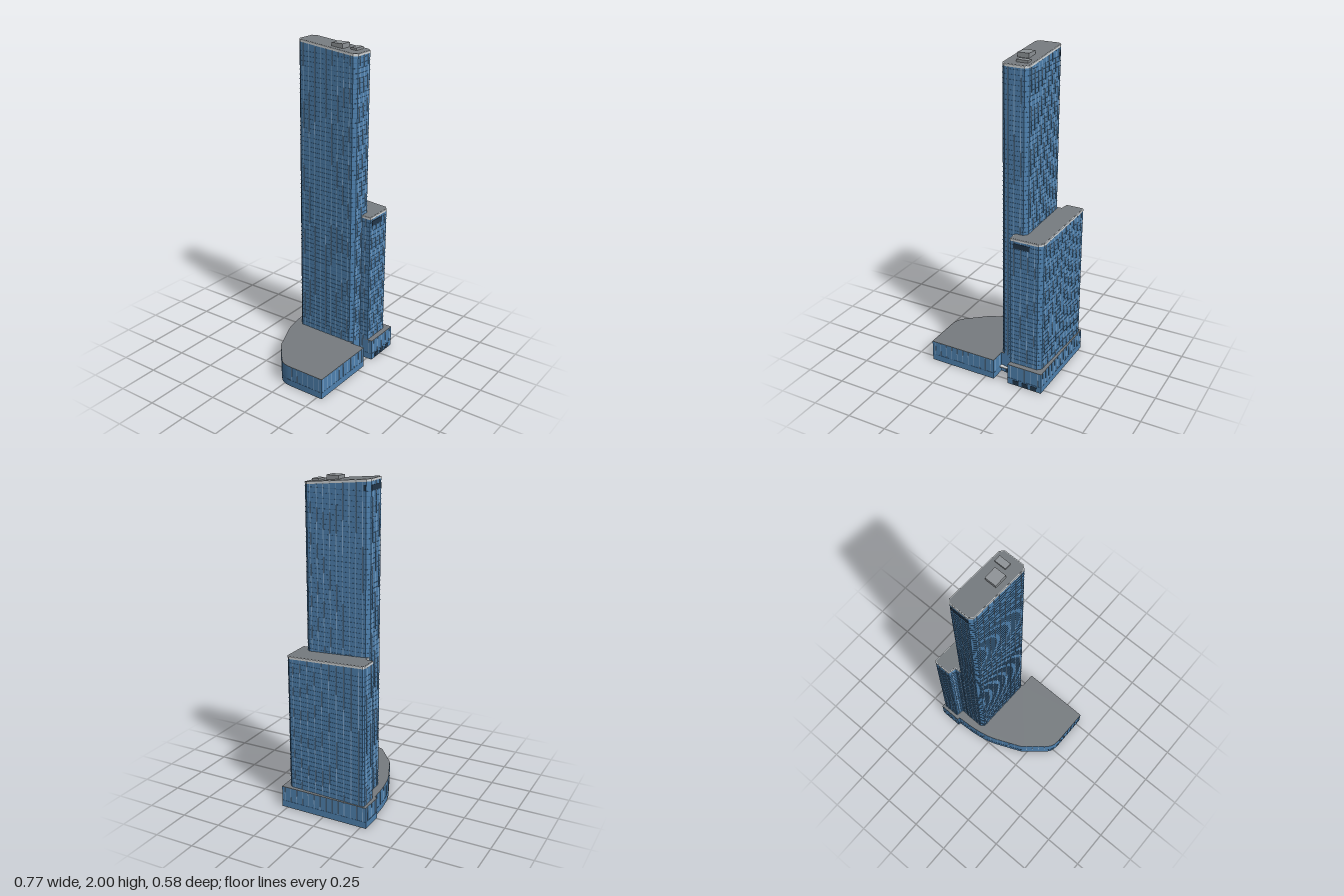
import * as THREE from 'three';
import { mergeGeometries, toCreasedNormals } from 'three/addons/utils/BufferGeometryUtils.js';

const mat = (color) => new THREE.MeshStandardMaterial({ color });
const GLASS = mat(0x4f82b0), SLAB = mat(0x3f6a92), MULLION = mat(0x86acd0), DARK = mat(0x22364a);
const ROOF = mat(0x777c80), TRIM = mat(0xd4d8da), PLANT = mat(0x8f9498);

// Plan outline from [x, z] pairs, as counter-clockwise points with y = -z
function plan(pairs) {
  const pts = pairs.map(([x, z]) => new THREE.Vector2(x, -z));
  return THREE.ShapeUtils.isClockWise(pts) ? pts.reverse() : pts;
}

const edgeNormal = (a, b) => new THREE.Vector2(b.y - a.y, a.x - b.x).normalize();

// Mitred offset of an outline (positive is outward)
function offset(pts, d) {
  return pts.map((p, i) => {
    const n1 = edgeNormal(pts[(i + pts.length - 1) % pts.length], p);
    const n2 = edgeNormal(p, pts[(i + 1) % pts.length]);
    return n1.clone().add(n2).multiplyScalar(d / (1 + n1.dot(n2))).add(p);
  });
}

// Vertical prism whose bottom and top heights are functions of z
function prism(pts, bottom, top) {
  const g = new THREE.ExtrudeGeometry(new THREE.Shape(pts), { depth: 1, bevelEnabled: false });
  g.rotateX(-Math.PI / 2);
  const p = g.attributes.position;
  for (let i = 0; i < p.count; i++) {
    const z = p.getZ(i);
    p.setY(i, p.getY(i) > 0.5 ? top(z) : bottom(z));
  }
  return toCreasedNormals(g, 0.5);
}

// Slim upright fins spread along every edge of an outline
function fins(pts, spacing, width, y0, top) {
  const list = [];
  pts.forEach((a, i) => {
    const b = pts[(i + 1) % pts.length];
    const count = Math.floor(a.distanceTo(b) / spacing);
    for (let k = 0; k < count; k++) {
      const p = a.clone().lerp(b, (k + 0.5) / count);
      const h = top(-p.y) - y0;
      const g = new THREE.BoxGeometry(width, h, 0.004);
      g.rotateY(Math.atan2(b.y - a.y, b.x - a.x));
      g.translate(p.x, y0 + h / 2, -p.y);
      list.push(g);
    }
  });
  return mergeGeometries(list);
}

function add(parent, name, geometry, material) {
  const m = new THREE.Mesh(geometry, material);
  m.name = name;
  parent.add(m);
  return m;
}

function box(parent, name, x0, x1, y0, y1, z0, z1, material) {
  const g = new THREE.BoxGeometry(x1 - x0, y1 - y0, z1 - z0);
  g.translate((x0 + x1) / 2, (y0 + y1) / 2, (z0 + z1) / 2);
  return add(parent, name, g, material);
}

// Glazed tower with floor slabs, fins, light parapet and sloping roof
function tower(name, pts, top, floorHeight, finSpacing) {
  const group = new THREE.Group();
  group.name = name;
  const eaves = (z) => top(z) - 0.014;
  add(group, name + 'Walls', prism(pts, () => 0.001, eaves), GLASS);
  const lowest = Math.min(...pts.map((p) => eaves(-p.y)));
  const slabs = [];
  const ring = offset(pts, 0.0015);
  for (let y = 0.135 + floorHeight; y < lowest - 0.005; y += floorHeight) {
    slabs.push(prism(ring, () => y, () => y + 0.003));
  }
  add(group, name + 'FloorSlabs', mergeGeometries(slabs), SLAB);
  add(group, name + 'Fins', fins(pts, finSpacing, 0.004, 0.135, eaves), MULLION);
  add(group, name + 'Parapet', prism(offset(pts, 0.001), eaves, (z) => top(z) - 0.001), TRIM);
  add(group, name + 'Roof', prism(offset(pts, -0.003), (z) => top(z) - 0.005, top), ROOF);
  return group;
}

export function createModel() {
  const model = new THREE.Group();
  model.name = 'highRise';

  // Podium with a curved back corner and an entrance notch
  const base = plan([
    [-0.386, 0.283], [0.057, 0.286], [0.057, 0.187], [0.152, 0.187], [0.152, 0.284], [0.381, 0.286],
    [0.385, -0.286], [0.24, -0.288], [0.24, -0.272], [0.13, -0.266], [0.07, -0.258], [0.01, -0.246],
    [-0.04, -0.23], [-0.19, -0.165], [-0.21, -0.157], [-0.23, -0.143], [-0.355, -0.037],
    [-0.37, -0.018], [-0.38, 0.006], [-0.385, 0.04],
  ]);
  const podium = new THREE.Group();
  podium.name = 'podium';
  model.add(podium);
  add(podium, 'podiumUnderside', prism(base, () => 0, () => 0.003), ROOF);
  add(podium, 'podiumWalls', prism(base, () => 0.003, () => 0.132), GLASS);
  add(podium, 'podiumRoof', prism(base, () => 0.132, () => 0.135), ROOF);
  add(podium, 'podiumBand', prism(offset(base, 0.001), () => 0.04, () => 0.043), SLAB);
  add(podium, 'podiumFins', fins(base, 0.04, 0.004, 0.043, () => 0.131), MULLION);
  for (const x of [0.19, 0.25, 0.31]) {
    box(podium, 'shopfront', x, x + 0.04, 0.004, 0.034, 0.28, 0.287, DARK);
  }

  // Tall tower
  const tallTop = (z) => 1.958 + (0.192 - z) * 0.1;
  const tall = tower('tallTower', plan([
    [0.07, -0.2], [0.09, -0.22], [0.21, -0.22], [0.23, -0.2],
    [0.226, 0.17], [0.205, 0.192], [0.083, 0.192], [0.062, 0.172],
  ]), tallTop, 0.0285, 0.038);
  box(tall, 'upperLouvre', 0.092, 0.208, 1.935, 1.965, -0.2225, -0.21, DARK);
  box(tall, 'sideLouvre', 0.22, 0.2315, 1.935, 1.965, -0.2, -0.185, DARK);
  box(tall, 'plantRoom', 0.1, 0.171, 1.96, 1.997, -0.002, 0.075, PLANT);
  box(tall, 'plantUnit', 0.131, 0.202, 1.955, 1.977, 0.108, 0.147, PLANT);
  model.add(tall);

  // Lower tower wrapped around the tall tower's side
  const lowTop = (z) => 0.97 + (0.252 - z) * 0.056;
  const low = tower('lowTower', plan([
    [0.152, 0.185], [0.152, 0.252], [0.333, 0.252], [0.358, 0.23], [0.378, -0.258],
    [0.368, -0.267], [0.265, -0.268], [0.255, -0.218], [0.2, -0.215], [0.2, 0.185],
  ]), lowTop, 0.0285, 0.045);
  box(low, 'frontLouvre', 0.172, 0.278, 0.912, 0.943, 0.245, 0.255, DARK);
  model.add(low);

  // Entrance canopy and door in the notch
  box(model, 'canopy', 0.057, 0.13, 0.04, 0.046, 0.185, 0.212, TRIM);
  box(model, 'entranceDoor', 0.09, 0.125, 0.004, 0.036, 0.185, 0.194, DARK);
  return model;
}
